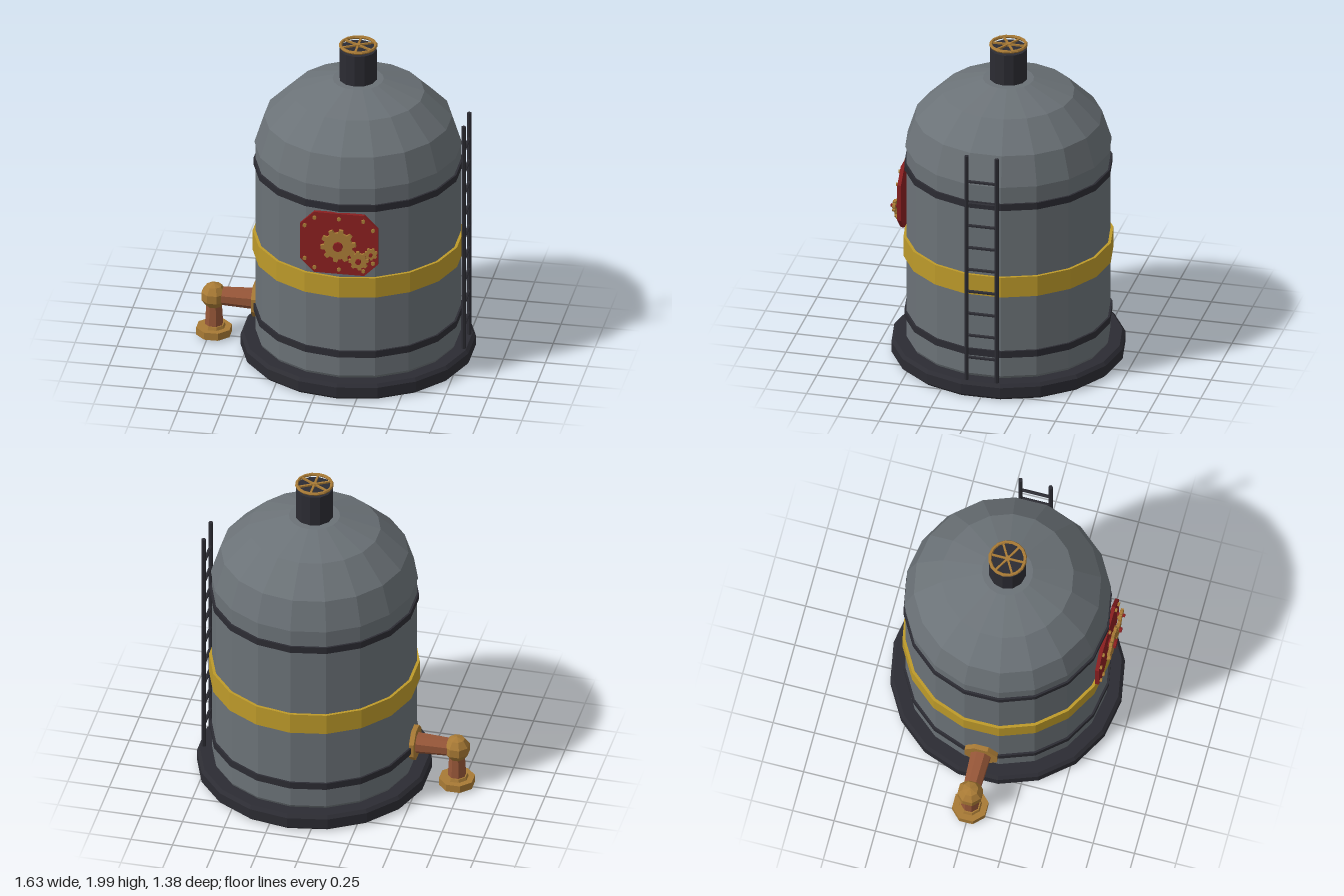
import * as THREE from 'three';

const mat = (name, color) => {
  const m = new THREE.MeshStandardMaterial({ color, flatShading: true });
  m.name = name;
  return m;
};

export function createModel() {
  const steel = mat('steel', 0x6b7277);
  const iron = mat('dark iron', 0x2c2c33);
  const yellow = mat('yellow paint', 0xbd9a2a);
  const red = mat('red paint', 0x8a1f20);
  const brass = mat('brass', 0xa87a35);
  const copper = mat('copper', 0x965638);

  const model = new THREE.Group();
  const tank = new THREE.Group();
  tank.name = 'tank';
  tank.position.x = 0.137;
  model.add(tank);

  const SIDES = 18;
  const add = (parent, name, geometry, material, x = 0, y = 0, z = 0) => {
    const mesh = new THREE.Mesh(geometry, material);
    mesh.name = name;
    mesh.position.set(x, y, z);
    parent.add(mesh);
    return mesh;
  };
  // Turned part from [radius, height] pairs, bottom to top
  const turned = (parent, name, profile, material, sides = SIDES) =>
    add(parent, name, new THREE.LatheGeometry(profile.map(p => new THREE.Vector2(...p)), sides), material);
  const plate = (shape, depth) => new THREE.ExtrudeGeometry(shape, { depth, bevelEnabled: false });

  // Base, shell and dome
  turned(tank, 'base', [[0, 0.005], [0.67, 0.005], [0.688, 0.022], [0.688, 0.085], [0.67, 0.104], [0, 0.104]], iron);
  turned(tank, 'shell', [[0.59, 0.1], [0.6, 0.12], [0.6, 1.355]], steel);
  turned(tank, 'dome', [[0, 1.352], [0.607, 1.352], [0.55, 1.53], [0.388, 1.69], [0.15, 1.772], [0, 1.775]], steel);

  // Hoops around the shell
  const hoop = (name, r, y0, y1, material) =>
    turned(tank, name, [[0.59, y0], [r, y0], [r, y1], [0.59, y1]], material);
  hoop('lowerHoop', 0.612, 0.244, 0.286, iron);
  hoop('upperHoop', 0.612, 1.203, 1.245, iron);
  hoop('yellowBand', 0.617, 0.642, 0.77, yellow);

  // Neck and valve wheel on top
  turned(tank, 'neck', [[0, 1.75], [0.111, 1.75], [0.111, 1.968], [0, 1.968]], iron, 12);
  const wheel = new THREE.Group();
  wheel.name = 'valveWheel';
  wheel.position.y = 1.99;
  tank.add(wheel);
  const rim = add(wheel, 'wheelRim', new THREE.TorusGeometry(0.104, 0.01, 6, 16), brass);
  rim.rotation.x = Math.PI / 2;
  for (let i = 0; i < 3; i++) {
    const spoke = add(wheel, 'wheelSpoke', new THREE.BoxGeometry(0.2, 0.01, 0.012), brass);
    spoke.rotation.y = i * Math.PI / 3 + Math.PI / 6;
  }
  add(wheel, 'wheelHub', new THREE.CylinderGeometry(0.016, 0.016, 0.016, 8), brass);

  // Ladder on the model's left
  const ladder = new THREE.Group();
  ladder.name = 'ladder';
  ladder.position.x = 0.781;
  model.add(ladder);
  for (const z of [-0.091, 0.091]) {
    add(ladder, 'ladderRail', new THREE.CylinderGeometry(0.0135, 0.0135, 1.47, 8), iron, 0, 0.825, z);
  }
  for (let i = 0; i < 9; i++) {
    const rung = add(ladder, 'ladderRung', new THREE.CylinderGeometry(0.01, 0.01, 0.18, 6), iron, 0, 0.25 + i * 0.143);
    rung.rotation.x = Math.PI / 2;
  }

  // Red octagonal panel
  const panel = new THREE.Group();
  panel.name = 'gearPanel';
  panel.position.set(0, 0.992, 0.59);
  tank.add(panel);
  const w = 0.232, h = 0.197, c = 0.083;
  const octagon = new THREE.Shape([
    [w - c, -h], [w, c - h], [w, h - c], [w - c, h], [c - w, h], [-w, h - c], [-w, c - h], [c - w, -h],
  ].map(p => new THREE.Vector2(...p)));
  add(panel, 'panelPlate', plate(octagon, 0.022), red);

  // Bolts around the panel edge
  const bolts = [];
  for (const s of [-1, 1]) {
    bolts.push([0, 0.165 * s]);
    for (const t of [-1, 1]) bolts.push([0.145 * t, 0.163 * s], [0.203 * t, 0.108 * s]);
  }
  for (const [x, y] of bolts) {
    const bolt = add(panel, 'panelBolt', new THREE.CylinderGeometry(0.012, 0.012, 0.014, 6), brass, x, y, 0.028);
    bolt.rotation.x = Math.PI / 2;
  }

  // Toothed gears
  const gear = (name, x, y, r, teeth, turn) => {
    const root = r * 0.8, step = Math.PI * 2 / teeth, pts = [];
    for (let i = 0; i < teeth; i++) {
      for (const [f, rad] of [[-0.3, root], [-0.18, r], [0.18, r], [0.3, root]]) {
        const a = turn + (i + f) * step;
        pts.push(new THREE.Vector2(Math.cos(a) * rad, Math.sin(a) * rad));
      }
    }
    add(panel, name, plate(new THREE.Shape(pts), 0.018), brass, x, y, 0.036);
    const axle = add(panel, name + 'Axle', new THREE.CylinderGeometry(r * 0.28, r * 0.28, 0.055, 8), red, x, y, 0.042);
    axle.rotation.x = Math.PI / 2;
  };
  gear('largeGear', 0, 0, 0.106, 10, 0.15);
  gear('middleGear', 0.121, -0.087, 0.06, 8, 0.1);
  gear('smallGear', 0.195, -0.036, 0.038, 7, 0.3);

  // Drain pipe on the model's right
  const pipe = new THREE.Group();
  pipe.name = 'drainPipe';
  pipe.position.set(-0.72, 0.265, 0);
  model.add(pipe);
  const eighth = Math.PI / 8;
  const cyl = (top, bottom, len) => new THREE.CylinderGeometry(top, bottom, len, 8).rotateY(eighth);
  add(pipe, 'elbow', new THREE.SphereGeometry(0.08, 8, 5).rotateY(eighth), brass);
  add(pipe, 'downPipe', cyl(0.044, 0.056, 0.2), copper, 0, -0.11);
  add(pipe, 'outletFlange', cyl(0.107, 0.107, 0.046), brass, 0, -0.225);
  add(pipe, 'outletCollar', cyl(0.062, 0.07, 0.02), brass, 0, -0.194);
  add(pipe, 'sidePipe', cyl(0.052, 0.064, 0.26).rotateZ(Math.PI / 2), copper, 0.13);
  add(pipe, 'wallFlange', cyl(0.106, 0.106, 0.05).rotateZ(Math.PI / 2), brass, 0.262);

  return model;
}
